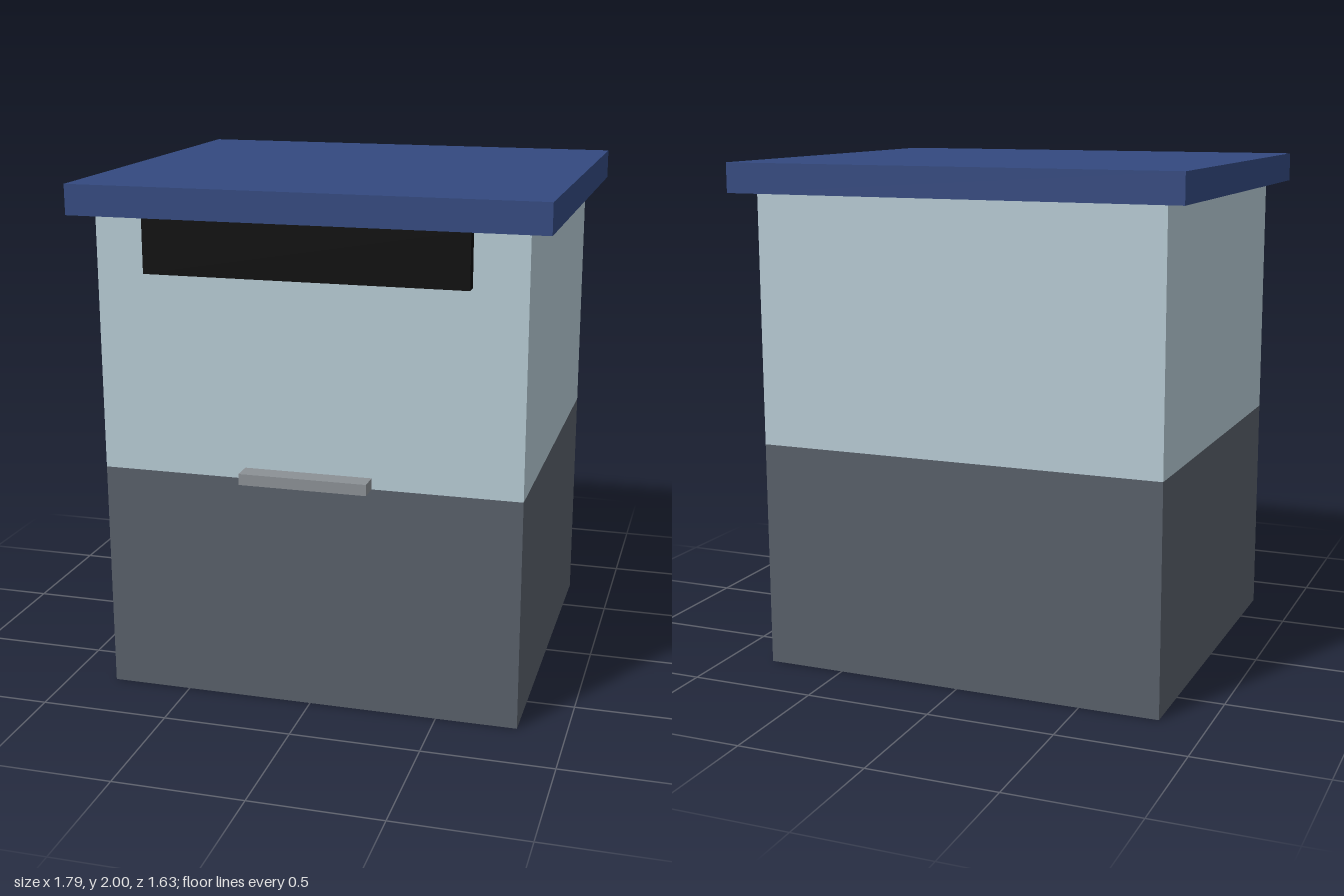
import * as THREE from 'three';

const paint = (color) => new THREE.MeshStandardMaterial({ color });

export function createModel() {
  const group = new THREE.Group();
  const wallMat = paint(0x585f69), glassMat = paint(0xb6cad3), roofMat = paint(0x33497f);
  const signMat = paint(0x0a0a0a), shelfMat = paint(0x8b9095);

  // Box given by its lower and upper corners
  function addBox(name, mat, [x0, y0, z0], [x1, y1, z1]) {
    const mesh = new THREE.Mesh(new THREE.BoxGeometry(x1 - x0, y1 - y0, z1 - z0), mat);
    mesh.position.set((x0 + x1) / 2, (y0 + y1) / 2, (z0 + z1) / 2);
    mesh.name = name;
    group.add(mesh);
  }

  const W = 0.814, D = 0.735, baseTop = 0.9, roofBottom = 1.885, t = 0.016;

  // Solid lower half of the booth
  addBox('base', wallMat, [-W, 0, -D], [W, baseTop, D]);

  // Glazing: side panes run full depth, front and back panes fit between them
  addBox('leftWindow', glassMat, [W - t, baseTop, -D], [W, roofBottom, D]);
  addBox('rightWindow', glassMat, [-W, baseTop, -D], [-W + t, roofBottom, D]);
  addBox('frontWindow', glassMat, [-W + t, baseTop, D - t], [W - t, roofBottom, D]);
  addBox('backWindow', glassMat, [-W + t, baseTop, -D], [W - t, roofBottom, -D + t]);

  // Overhanging flat roof
  addBox('roof', roofMat, [-0.897, roofBottom, -0.815], [0.897, 2, 0.815]);

  // Blank sign board under the eave and small counter on the front
  addBox('signBoard', signMat, [-0.612, 1.675, D], [0.612, roofBottom, 0.783]);
  addBox('counter', shelfMat, [-0.246, baseTop, D], [0.246, 0.943, 0.815]);

  return group;
}
